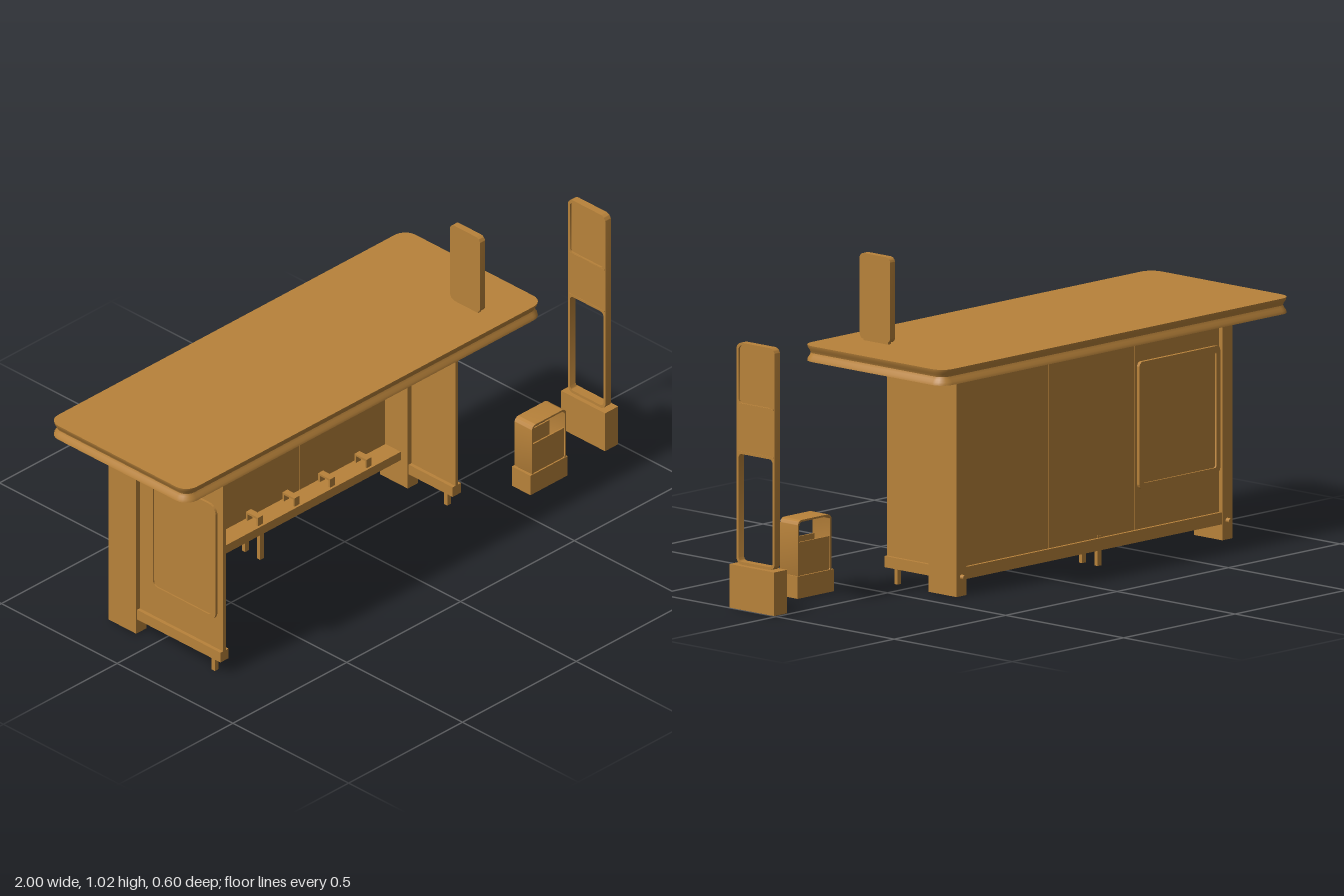
import * as THREE from 'three';
import { toCreasedNormals } from 'three/addons/utils/BufferGeometryUtils.js';

const bronze = new THREE.MeshStandardMaterial({ color: 0xb8823a, side: THREE.DoubleSide });
bronze.name = 'bronze';

function add(parent, name, geometry) {
  const mesh = new THREE.Mesh(geometry, bronze);
  mesh.name = name;
  parent.add(mesh);
  return mesh;
}

// Box given by its extents on each axis
function box(parent, name, x0, x1, y0, y1, z0, z1) {
  const mesh = add(parent, name, new THREE.BoxGeometry(x1 - x0, y1 - y0, z1 - z0));
  mesh.position.set((x0 + x1) / 2, (y0 + y1) / 2, (z0 + z1) / 2);
  return mesh;
}

function roundRect(path, u0, u1, v0, v1, r) {
  path.moveTo(u0 + r, v0);
  path.lineTo(u1 - r, v0).absarc(u1 - r, v0 + r, r, -Math.PI / 2, 0);
  path.lineTo(u1, v1 - r).absarc(u1 - r, v1 - r, r, 0, Math.PI / 2);
  path.lineTo(u0 + r, v1).absarc(u0 + r, v1 - r, r, Math.PI / 2, Math.PI);
  path.lineTo(u0, v0 + r).absarc(u0 + r, v0 + r, r, Math.PI, Math.PI * 1.5);
  return path;
}

// Rounded plate with holes, facing z; each rectangle is [u0, u1, v0, v1, radius]
function plate(parent, name, outline, holes, w0, w1) {
  const shape = roundRect(new THREE.Shape(), ...outline);
  for (const h of holes) shape.holes.push(roundRect(new THREE.Path(), ...h));
  const geo = new THREE.ExtrudeGeometry(shape, { depth: w1 - w0, bevelEnabled: false, curveSegments: 6 });
  geo.translate(0, 0, w0);
  return add(parent, name, toCreasedNormals(geo, 0.6));
}

// The same plate facing x; rectangles are given as [z0, z1, y0, y1, radius]
function sidePlate(parent, name, outline, holes, x0, x1) {
  const flip = ([z0, z1, ...rest]) => [-z1, -z0, ...rest];
  const mesh = plate(parent, name, flip(outline), holes.map(flip), x0, x1);
  mesh.geometry.rotateY(Math.PI / 2);
  return mesh;
}

// Roof slab lofted from rounded rectangles, with a concave edge
function roofGeometry(x0, x1, z0, z1, radius, rings) {
  const pos = [], index = [], n = 28;
  for (const [y, inset] of rings) {
    for (let i = 0; i < n; i++) {
      const corner = Math.floor(i / 7);
      const a = (corner + (i % 7) / 6) * Math.PI / 2;
      const cx = corner === 0 || corner === 3 ? x1 - radius : x0 + radius;
      const cz = corner < 2 ? z0 + radius : z1 - radius;
      pos.push(cx + (radius - inset) * Math.cos(a), y, cz - (radius - inset) * Math.sin(a));
    }
  }
  const last = (rings.length - 1) * n;
  for (let k = 0; k < last; k += n) {
    for (let i = 0; i < n; i++) {
      const j = (i + 1) % n;
      index.push(k + i, k + j, k + n + j, k + i, k + n + j, k + n + i);
    }
  }
  for (let i = 1; i < n - 1; i++) index.push(last, last + i, last + i + 1, 0, i + 1, i);
  const geo = new THREE.BufferGeometry();
  geo.setAttribute('position', new THREE.Float32BufferAttribute(pos, 3));
  geo.setIndex(index);
  return toCreasedNormals(geo, 0.7);
}

function group(parent, name) {
  const g = new THREE.Group();
  g.name = name;
  parent.add(g);
  return g;
}

function buildShelter(parent) {
  const shelter = group(parent, 'shelter');
  add(shelter, 'roof', roofGeometry(-1, 0.57, -0.3, 0.3, 0.045,
    [[0.70, 0], [0.709, 0.002], [0.717, 0.008], [0.725, 0.011], [0.733, 0.008], [0.741, 0.002], [0.75, 0]]));

  // Corner posts with a bolt on the back
  for (const [x0, x1] of [[-0.835, -0.79], [0.358, 0.402]]) {
    box(shelter, 'cornerPost', x0, x1, 0, 0.705, -0.2, -0.08);
    const bolt = add(shelter, 'postBolt', new THREE.CylinderGeometry(0.008, 0.008, 0.015, 12));
    bolt.rotation.x = Math.PI / 2;
    bolt.position.set((x0 + x1) / 2, 0.06, -0.207);
  }

  // Back wall panels, seams and rails
  const edges = [-0.79, -0.41, -0.02, 0.358];
  for (let i = 0; i < 3; i++) {
    box(shelter, 'backPanel', edges[i] + 0.002, edges[i + 1] - 0.002, 0.085, 0.70, -0.188, -0.176);
    if (i) box(shelter, 'panelSeam', edges[i] - 0.003, edges[i] + 0.003, 0.085, 0.70, -0.186, -0.178);
  }
  box(shelter, 'backBottomRail', -0.79, 0.358, 0.05, 0.088, -0.198, -0.166);
  box(shelter, 'backTopRail', -0.79, 0.358, 0.688, 0.705, -0.194, -0.17);

  // Poster frame on the back, with screw heads inside
  plate(shelter, 'backPosterFrame', [-0.782, -0.42, 0.215, 0.615, 0.015],
    [[-0.765, -0.437, 0.232, 0.598, 0.008]], -0.199, -0.187);
  plate(shelter, 'backPoster', [-0.77, -0.432, 0.227, 0.603, 0.008], [], -0.193, -0.187);
  for (const x of [-0.762, -0.436]) for (const y of [0.235, 0.59]) {
    const screw = add(shelter, 'posterScrew', new THREE.CylinderGeometry(0.006, 0.006, 0.006, 10));
    screw.rotation.x = Math.PI / 2;
    screw.position.set(x, y, -0.174);
  }

  // Side walls: deep on the right of the front face's left edge, short on the other
  for (const [x, zFront, legZ] of [[-0.813, 0.28, 0.239], [0.38, 0.11, 0.07]]) {
    box(shelter, 'sidePanel', x - 0.006, x + 0.006, 0.08, 0.705, -0.08, zFront);
    box(shelter, 'sideBottomRail', x - 0.018, x + 0.018, 0.05, 0.085, -0.08, zFront);
    box(shelter, 'sideLeg', x - 0.008, x + 0.008, 0, 0.06, legZ - 0.007, legZ + 0.007);
  }
  // Poster frames on both faces of the deep side wall
  for (const s of [-1, 1]) {
    const a = -0.813 + s * 0.006, b = -0.813 + s * 0.014, c = -0.813 + s * 0.009;
    sidePlate(shelter, 'sidePosterFrame', [-0.03, 0.255, 0.185, 0.6, 0.03],
      [[-0.015, 0.24, 0.2, 0.585, 0.018]], Math.min(a, b), Math.max(a, b));
    sidePlate(shelter, 'sidePoster', [-0.018, 0.243, 0.197, 0.588, 0.018], [], Math.min(a, c), Math.max(a, c));
  }

  // Small ceiling lamps
  for (const x of [-0.765, 0.33]) {
    const lamp = add(shelter, 'ceilingLamp', new THREE.SphereGeometry(0.018, 16, 8, 0, Math.PI * 2, Math.PI / 2, Math.PI / 2));
    lamp.position.set(x, 0.702, 0.198);
  }
}

function buildBench(parent) {
  const bench = group(parent, 'bench');
  box(bench, 'benchSeat', -0.41, 0.358, 0.09, 0.12, -0.178, -0.11);
  for (const x of [-0.25, -0.09, 0.067, 0.227]) {
    const y0 = 0.115, y1 = 0.15;
    box(bench, 'armrestTop', x - 0.011, x + 0.011, y1 - 0.007, y1, -0.17, -0.118);
    box(bench, 'armrestFront', x - 0.011, x + 0.011, y0, y1, -0.125, -0.118);
    box(bench, 'armrestBack', x - 0.011, x + 0.011, y0, y1, -0.17, -0.163);
  }
  for (const z of [-0.183, -0.118]) box(bench, 'benchLeg', -0.259, -0.241, 0, 0.095, z - 0.007, z + 0.007);
}

function buildBin(parent) {
  const bin = group(parent, 'litterBin');
  box(bin, 'binBase', 0.595, 0.758, 0, 0.07, 0.137, 0.217);
  // Front and back walls closed by a full-depth hoop
  for (const z of [0.143, 0.207]) box(bin, 'binWall', 0.609, 0.748, 0.07, 0.175, z, z + 0.005);
  plate(bin, 'binHoop', [0.603, 0.754, 0.06, 0.245, 0.018],
    [[0.609, 0.748, 0.066, 0.239, 0.013]], 0.14, 0.215);
}

function buildTotem(parent) {
  const totem = group(parent, 'informationPost');
  box(totem, 'postBase', 0.94, 0.998, 0, 0.137, 0.01, 0.2);
  sidePlate(totem, 'postFrame', [0.025, 0.187, 0.137, 0.835, 0.022],
    [[0.034, 0.178, 0.146, 0.485, 0.014], [0.034, 0.178, 0.645, 0.826, 0.014]], 0.955, 0.98);
  sidePlate(totem, 'upperDisplay', [0.032, 0.18, 0.643, 0.828, 0.014], [], 0.961, 0.974);
  for (const y of [0.49, 0.64]) box(totem, 'displayTrim', 0.9535, 0.9815, y, y + 0.004, 0.03, 0.182);
}

export function createModel() {
  const model = new THREE.Group();
  model.name = 'busStop';
  buildShelter(model);
  buildBench(model);
  buildBin(model);
  buildTotem(model);
  // Upright sign standing on the roof
  sidePlate(model, 'roofSign', [0.087, 0.217, 0.755, 1.025, 0.018], [], 0.374, 0.396);
  box(model, 'signFoot', 0.378, 0.392, 0.745, 0.757, 0.1, 0.204);
  return model;
}
